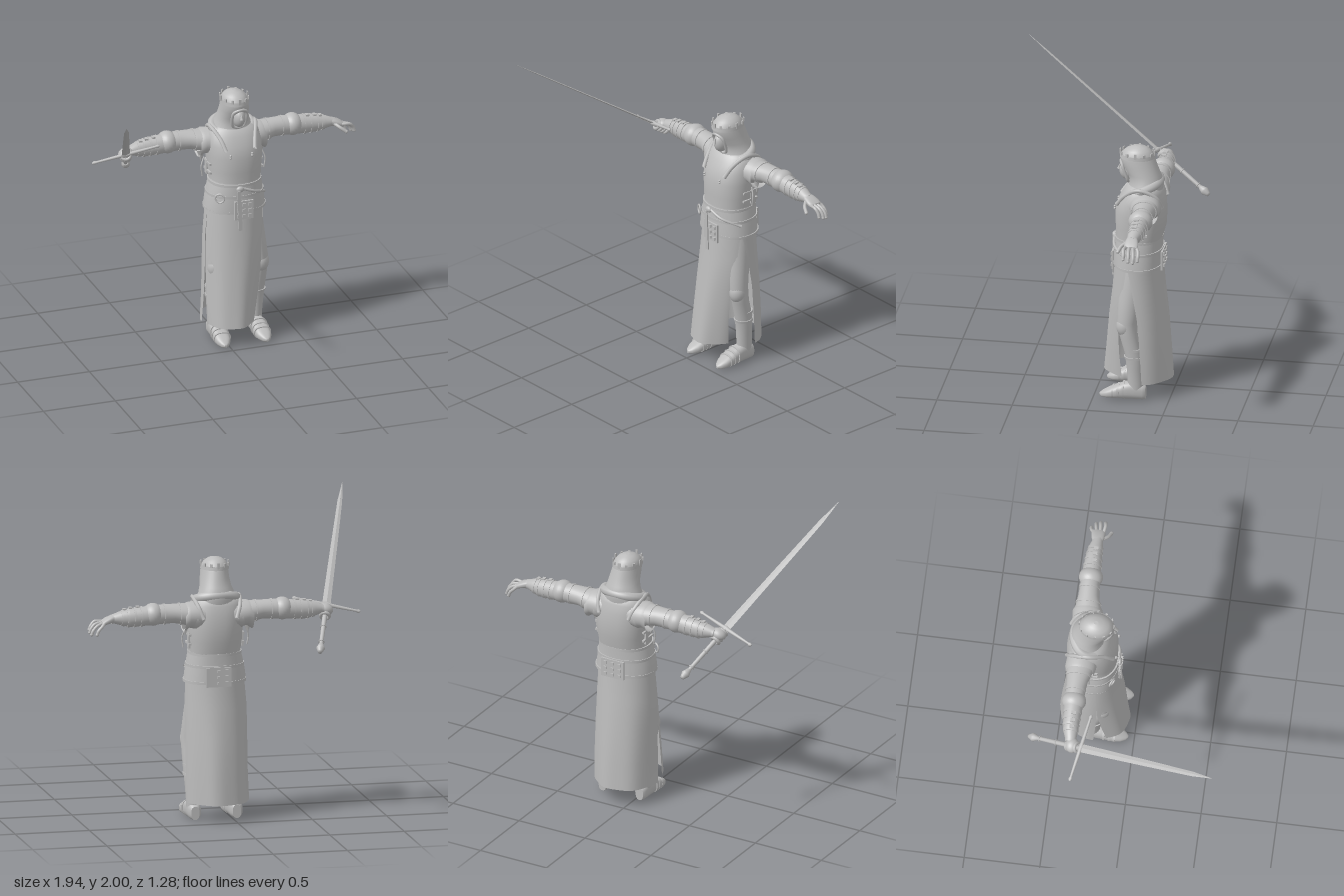
import * as THREE from 'three';

const MID = 0.105; // body centre line in x
const stone = new THREE.MeshStandardMaterial({ color: 0xbcbcbc, side: THREE.DoubleSide });
stone.name = 'stone grey';
const V = (p) => new THREE.Vector3(...p);

function add(parent, name, geo, pos = [0, 0, 0], rot = [0, 0, 0], scale = [1, 1, 1]) {
  const m = new THREE.Mesh(geo, stone);
  m.name = name;
  m.position.set(...pos); m.rotation.set(...rot); m.scale.set(...scale);
  parent.add(m);
  return m;
}

// Loft of superellipse rings [t, a, b, ra, rb]; t runs along the axis, a and b across it
function loft(axis, rings, { seg = 32, p = 2, caps = true } = {}) {
  const pos = [], idx = [], e = 2 / p;
  const put = (t, a, b) => pos.push(...(axis === 'y' ? [a, t, b] : axis === 'x' ? [t, a, b] : [a, b, t]));
  const tri = (a, b, c) => (axis === 'y' ? idx.push(a, c, b) : idx.push(a, b, c));
  const pw = (v) => Math.sign(v) * Math.abs(v) ** e;
  const ring = ([t, a, b, ra, rb]) => {
    for (let i = 0; i < seg; i++) {
      const w = (i / seg) * Math.PI * 2;
      put(t, a + ra * pw(Math.cos(w)), b + rb * pw(Math.sin(w)));
    }
  };
  rings.forEach(ring);
  for (let r = 0; r < rings.length - 1; r++) for (let i = 0; i < seg; i++) {
    const j = (i + 1) % seg, k = r * seg, n = k + seg;
    tri(k + i, k + j, n + i); tri(k + j, n + j, n + i);
  }
  if (caps) [rings[0], rings[rings.length - 1]].forEach((r, end) => {
    const k = pos.length / 3;
    ring(r); put(r[0], r[1], r[2]);
    for (let i = 0; i < seg; i++) {
      const j = (i + 1) % seg;
      if (end) tri(k + i, k + j, k + seg); else tri(k + j, k + i, k + seg);
    }
  });
  const g = new THREE.BufferGeometry();
  g.setAttribute('position', new THREE.Float32BufferAttribute(pos, 3));
  g.setIndex(idx); g.computeVertexNormals();
  return g;
}

// Open cloth panel from arcs [y, cx, cz, rx, rz, start, end]; angle 0 is the front
function cloth(rows, n = 40) {
  const pos = [], idx = [];
  rows.forEach(([y, cx, cz, rx, rz, t0, t1]) => {
    for (let i = 0; i <= n; i++) {
      const t = t0 + (t1 - t0) * i / n, f = 1 + 0.022 * (0.95 - y) * Math.sin(t * 7);
      pos.push(cx + rx * f * Math.sin(t), y, cz + rz * f * Math.cos(t));
    }
  });
  for (let r = 0; r < rows.length - 1; r++) for (let i = 0; i < n; i++) {
    const a = r * (n + 1) + i, b = a + n + 1;
    idx.push(a, b, a + 1, b, b + 1, a + 1);
  }
  const g = new THREE.BufferGeometry();
  g.setAttribute('position', new THREE.Float32BufferAttribute(pos, 3));
  g.setIndex(idx); g.computeVertexNormals();
  return g;
}

const rod = (pts, r, closed = false, seg = 24) =>
  new THREE.TubeGeometry(new THREE.CatmullRomCurve3(pts.map(V), closed), seg, r, 8, closed);
const box = (x, y, z) => new THREE.BoxGeometry(x, y, z);
const ball = (r) => new THREE.SphereGeometry(r, 24, 16);

function buildHead(g) {
  add(g, 'hood', loft('y', [[1.42, .105, -.31, .16, .12], [1.48, .105, -.325, .135, .115], [1.52, .105, -.325, .118, .112],
    [1.56, .108, -.31, .104, .108], [1.61, .108, -.285, .096, .115], [1.66, .105, -.267, .09, .115], [1.695, .103, -.266, .085, .105],
    [1.72, .102, -.268, .068, .08], [1.737, .102, -.27, .042, .05], [1.744, .102, -.27, .012, .015]]));
  add(g, 'face', ball(1), [.113, 1.572, -.205], [0, 0, 0], [.043, .068, .058]);
  add(g, 'nose', new THREE.ConeGeometry(.012, .045, 8), [.113, 1.598, -.148], [-.2, 0, 0]);
  add(g, 'faceOpening', rod([[.113, 1.64, -.158], [.07, 1.62, -.172], [.063, 1.56, -.195], [.075, 1.51, -.21],
    [.113, 1.495, -.21], [.151, 1.51, -.21], [.163, 1.56, -.195], [.156, 1.62, -.172]], .01, true, 48));
  const cowl = [];
  for (let i = 0; i < 12; i++) {
    const t = i / 12 * Math.PI * 2;
    cowl.push([MID + .135 * Math.sin(t), 1.475 - .035 * Math.cos(t), -.315 + .1 * Math.cos(t)]);
  }
  add(g, 'cowlFold', rod(cowl, .03, true, 60));
  // Circlet with upright points
  add(g, 'crownBand', loft('y', [[1.668, .104, -.266, .094, .118], [1.694, .103, -.266, .092, .114]], { caps: false }));
  for (let i = 0; i < 12; i++) {
    const t = i / 12 * Math.PI * 2;
    add(g, 'crownPoint', box(.016, i % 3 ? .024 : .038, .008), [.103 + .092 * Math.sin(t), 1.7, -.266 + .114 * Math.cos(t)], [0, t, 0]);
  }
}

function buildTorso(g) {
  add(g, 'cuirass', loft('y', [[1.04, .105, -.275, .175, .15], [1.1, .11, -.28, .168, .152], [1.2, .11, -.292, .178, .166],
    [1.3, .11, -.293, .184, .168], [1.38, .107, -.3, .184, .155], [1.44, .105, -.31, .175, .13],
    [1.48, .105, -.315, .15, .11], [1.5, .105, -.315, .1, .07]], { p: 2.3, seg: 40 }));
  add(g, 'fauld', loft('y', [[.92, .105, -.275, .207, .163], [.93, .105, -.275, .206, .163], [1.0, .105, -.275, .197, .16],
    [1.07, .107, -.277, .184, .157], [1.13, .11, -.28, .171, .155]], { p: 2.2, caps: false, seg: 40 }));
  for (const [y, rx, rz] of [[1.115, .178, .162], [1.035, .194, .163], [.928, .209, .166]])
    add(g, 'beltBand', loft('y', [[y - .009, .107, -.278, rx, rz], [y + .009, .107, -.278, rx, rz]], { p: 2.2 }));
  // Studded plates, front and back
  for (const [z, x, w, y] of [[-.112, .115, .13, .945], [-.442, .115, .17, .97]]) {
    add(g, 'studdedPlate', box(w, .13, .012), [x, y, z]);
    for (let i = 0; i < 3; i++) for (let j = 0; j < 3; j++)
      add(g, 'stud', box(.02, .02, .012), [x + (i - 1) * w * .31, y + (j - 1) * .04, z + (z > -.2 ? .008 : -.008)]);
  }
  add(g, 'beltTongue', box(.024, .28, .008), [.083, .945, -.101], [0, 0, .05]);
  add(g, 'beltKnot', ball(.026), [.09, 1.095, -.112], [0, 0, 0], [1, .8, .6]);
  add(g, 'beltRing', new THREE.TorusGeometry(.03, .006, 8, 28), [-.04, 1.035, -.145], [0, -.5, 0]);
  add(g, 'slantedStrap', rod([[.1, 1.1, -.115], [.2, 1.06, -.13], [.295, 1.01, -.22]], .01));
  for (const s of [-1, 1]) {
    add(g, 'shoulderStrap', rod([[MID + s * .1, 1.36, -.145], [MID + s * .12, 1.43, -.2], [MID + s * .155, 1.49, -.3],
      [MID + s * .14, 1.44, -.41], [MID + s * .11, 1.36, -.448]], .014));
    add(g, 'sideBuckle', box(.014, .1, .035), [.11 + s * .179, 1.2, -.32]);
    for (const y of [1.18, 1.24]) add(g, 'sideStrap', box(.016, .014, .12), [.11 + s * .178, y, -.3]);
    add(g, 'lace', rod([[MID + s * .2, 1.28, -.3], [MID + s * .222, 1.22, -.29], [MID + s * .215, 1.15, -.29]], .005));
    for (const y of [1.32, 1.335]) add(g, 'chestRivet', ball(.008), [MID + s * .075, y, -.128]);
  }
}

function buildSkirtAndLegs(g) {
  add(g, 'skirtFront', cloth([[.96, .105, -.275, .188, .155, -1.5, 1.25], [.75, .1, -.27, .2, .166, -1.45, 1.1],
    [.55, .09, -.27, .2, .19, -1.4, .95], [.3, .065, -.27, .185, .213, -1.25, 1.06], [.13, .05, -.27, .172, .23, -1.15, 1.17]]));
  add(g, 'skirtBack', cloth([[.96, .105, -.275, .193, .16, 1.25, 4.85], [.75, .1, -.27, .207, .182, 1.55, 4.85],
    [.55, .1, -.27, .21, .206, 1.72, 4.85], [.3, .1, -.27, .213, .225, 1.78, 4.8], [.12, .095, -.27, .216, .236, 1.81, 4.75]]));
  for (const left of [true, false]) {
    const X = (x) => (left ? x : .22 - x);
    const name = left ? 'left' : 'right';
    add(g, name + 'Leg', loft('y', [[.05, .25, -.28, .045, .052], [.12, .252, -.28, .045, .054], [.22, .254, -.275, .05, .055],
      [.33, .258, -.267, .056, .06], [.45, .264, -.235, .053, .06], [.55, .262, -.222, .058, .066],
      [.7, .23, -.24, .075, .08], [.92, .195, -.27, .088, .095]].map(([y, x, ...r]) => [y, X(x), ...r])));
    add(g, name + 'KneePlate', ball(1), [X(.266), .52, -.21], [0, 0, 0], [.056, .075, .058]);
    for (const y of [.3, .36]) add(g, 'shinStrap', loft('y', [[y - .008, X(.257), -.27, .06, .064], [y + .008, X(.258), -.266, .06, .064]]));
    add(g, name + 'Boot', loft('z', [[-.345, .25, .045, .028, .044], [-.325, .25, .053, .043, .053], [-.26, .25, .062, .048, .062],
      [-.2, .25, .055, .052, .055], [-.14, .25, .042, .056, .042], [-.09, .252, .03, .047, .03],
      [-.055, .254, .021, .027, .019], [-.04, .255, .018, .008, .008]].map(([z, x, ...r]) => [z, X(x), ...r]), { p: 2.5 }));
    [[-.2, .055], [-.165, .047], [-.13, .039]].forEach(([z, h]) =>
      add(g, 'bootPlate', loft('z', [[z - .007, X(.25), h + .003, .057, h + .003], [z + .007, X(.25), h + .002, .059, h + .002]], { p: 2.5 })));
  }
}

const ARM = [[.16, 1.375, -.34, .09, .095], [.26, 1.367, -.345, .088, .102], [.32, 1.385, -.35, .071, .088], [.4, 1.395, -.357, .063, .07],
  [.47, 1.395, -.36, .064, .064], [.54, 1.392, -.36, .066, .066], [.62, 1.385, -.36, .063, .058], [.7, 1.38, -.36, .06, .053],
  [.76, 1.38, -.355, .046, .046], [.8, 1.378, -.35, .032, .036], [.82, 1.374, -.35, .03, .036]];
function armAt(x, grow = 1) {
  const i = ARM.findIndex((r) => r[0] >= x), a = ARM[i - 1], b = ARM[i], k = (x - a[0]) / (b[0] - a[0]);
  return a.map((v, n) => (v + (b[n] - v) * k) * (n > 2 ? grow : 1));
}

function buildArm(g, left) {
  const side = (rings) => (left ? rings : rings.map(([x, ...r]) => [2 * MID - x, ...r]).reverse());
  const X = (x) => (left ? x : 2 * MID - x);
  const name = left ? 'left' : 'right';
  add(g, name + 'Arm', loft('x', side(ARM)));
  add(g, name + 'Sleeve', loft('x', side([armAt(.22, 1.02), armAt(.3, 1.1), [.335, 1.36, -.35, .09, .09]]), { caps: false }));
  add(g, name + 'SleeveTatter', new THREE.ConeGeometry(.03, .08, 4), [X(.315), 1.275, -.33], [Math.PI, 0, 0], [1, 1, .5]);
  add(g, name + 'ElbowPlate', ball(1), [X(.54), 1.396, -.36], [0, 0, 0], [.068, .075, .08]);
  // Armour rims and bracer straps
  for (const [x, w] of [[.36, .012], [.465, .014], [.62, .016], [.665, .014], [.71, .014], [.745, .02]])
    add(g, 'armBand', loft('x', side([armAt(x - w / 2, 1.07), armAt(x + w / 2, 1.07)])));
  for (const x of [.64, .69, .73]) add(g, 'bracerBuckle', box(.022, .012, .03), [X(x), armAt(x)[1] + armAt(x)[3] + .002, -.35]);
}

function buildOpenHand(g) {
  add(g, 'leftPalm', loft('x', [[.79, 1.38, -.35, .026, .03], [.82, 1.376, -.35, .025, .042], [.86, 1.362, -.352, .022, .047],
    [.885, 1.35, -.354, .016, .042]], { p: 2.4 }));
  const tips = [[.925, 1.285, -.405], [.955, 1.283, -.378], [.962, 1.292, -.348], [.958, 1.305, -.315]];
  tips.forEach(([x, y, z], i) => {
    add(g, 'finger', rod([[.87, 1.357, -.387 + i * .023], [x - .035, y + .052, z + .004], [x - .01, y + .025, z], [x, y, z]], .011));
    add(g, 'fingertip', ball(.011), [x, y, z]);
  });
  add(g, 'thumb', rod([[.82, 1.37, -.32], [.85, 1.35, -.285], [.885, 1.325, -.268]], .012));
  add(g, 'thumbTip', ball(.012), [.885, 1.325, -.268]);
}

function buildSword() {
  // Local y runs from pommel to tip, local x along the guard
  const s = new THREE.Group();
  s.name = 'sword';
  const base = V([-.52, 1.145, -.635]), y = V([-.97, 2, .635]).sub(base), len = y.length();
  y.normalize();
  const x = V([.44, .095, .085]).addScaledVector(y, -V([.44, .095, .085]).dot(y)).normalize();
  s.applyMatrix4(new THREE.Matrix4().makeBasis(x, y, x.clone().cross(y)).setPosition(base));
  const blade = loft('y', [[.45, 0, 0, .028, .007], [1.0, 0, 0, .022, .005], [1.42, 0, 0, .016, .004], [len, 0, 0, .001, .001]], { seg: 4 }).toNonIndexed();
  blade.computeVertexNormals();
  add(s, 'blade', blade);
  add(s, 'grip', new THREE.CylinderGeometry(.017, .013, .39, 16), [0, .25, 0]);
  for (const h of [.1, .24, .43]) add(s, 'gripRing', new THREE.TorusGeometry(.017, .004, 8, 20), [0, h, 0], [Math.PI / 2, 0, 0]);
  add(s, 'pommel', new THREE.LatheGeometry([[0, 0], [.014, .002], [.017, .012], [.029, .04], [.024, .052], [.014, .08], [0, .082]]
    .map((p) => new THREE.Vector2(...p)), 12));
  add(s, 'guard', loft('x', [[-.228, 0, 0, .006, .006], [-.215, 0, 0, .014, .012], [-.2, 0, 0, .008, .008], [-.03, 0, 0, .013, .012],
    [0, 0, 0, .02, .018], [.03, 0, 0, .013, .012], [.2, 0, 0, .008, .008], [.215, 0, 0, .014, .012], [.228, 0, 0, .006, .006]], { seg: 12 }),
  [0, .45, 0]);
  // Gripping fingers
  for (let i = 0; i < 4; i++)
    add(s, 'grippingFinger', new THREE.TorusGeometry(.028, .012, 10, 24), [0, .345 + i * .025, 0], [Math.PI / 2, 0, 0]);
  return s;
}

export function createModel() {
  const root = new THREE.Group();
  root.name = 'swordsman';
  const part = (name, build, ...args) => {
    const g = new THREE.Group();
    g.name = name;
    build(g, ...args);
    root.add(g);
  };
  part('head', buildHead);
  part('torso', buildTorso);
  part('lowerBody', buildSkirtAndLegs);
  part('leftArmGroup', buildArm, true);
  part('rightArmGroup', buildArm, false);
  part('leftHand', buildOpenHand);
  part('rightHand', (g) => {
    add(g, 'rightPalm', ball(1), [-.627, 1.368, -.335], [0, 0, .3], [.052, .038, .045]);
    add(g, 'rightThumb', rod([[-.6, 1.37, -.32], [-.63, 1.375, -.285], [-.665, 1.375, -.285]], .012));
  });
  root.add(buildSword());
  return root;
}
